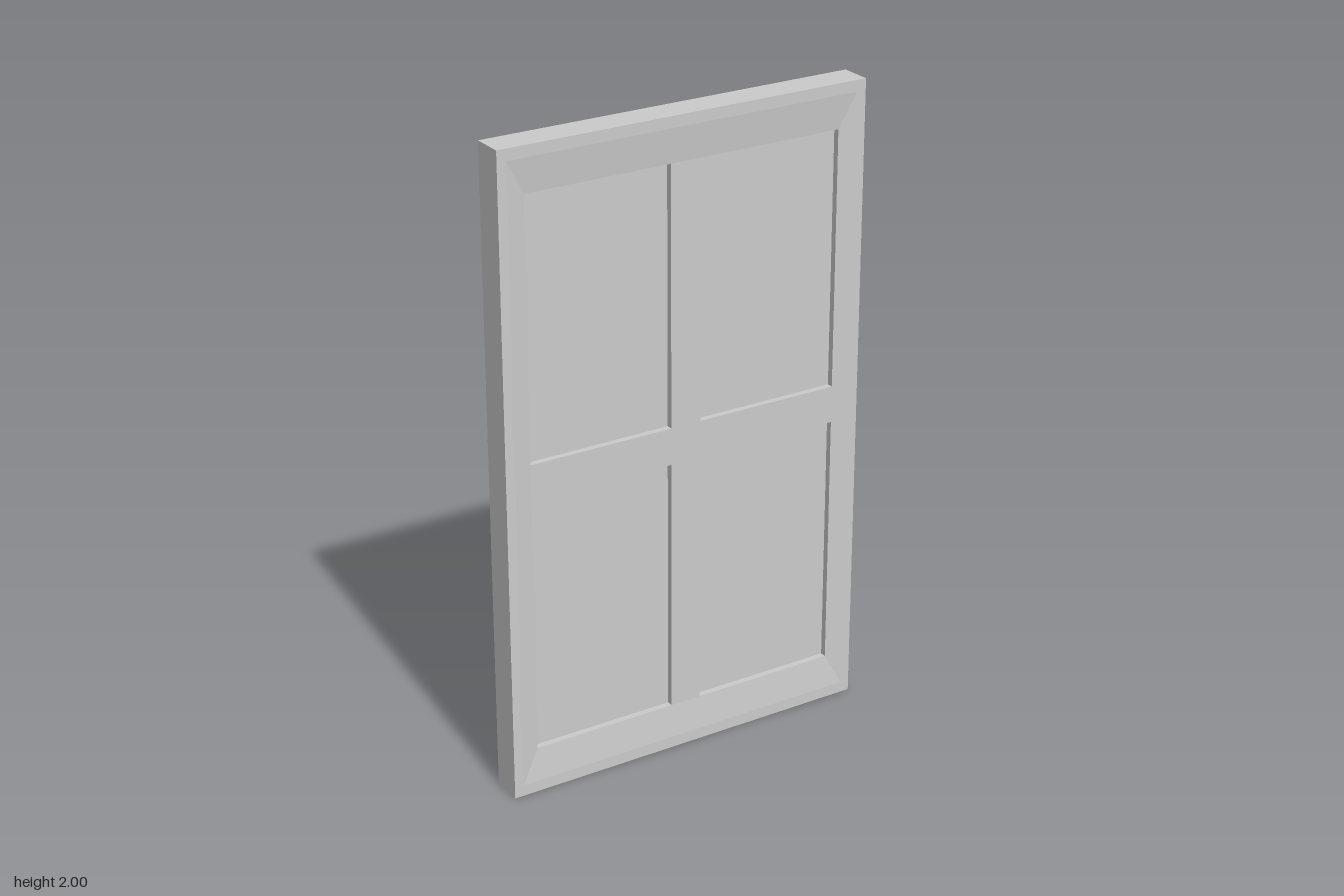
import * as THREE from 'three';

const material = new THREE.MeshStandardMaterial({ color: 0xcccccc, flatShading: true });

// Pane openings, measured from the panel centre
const PANE = { x0: 0.05, x1: 0.515, y0: 0.058, y1: 0.86 };

function rect(Type, x0, y0, x1, y1) {
  const r = new Type();
  r.moveTo(x0, y0);
  r.lineTo(x1, y0);
  r.lineTo(x1, y1);
  r.lineTo(x0, y1);
  r.closePath();
  return r;
}

// Sweeps [halfWidth, halfHeight, z] sections round the four mitred corners
function mitredFrame(sections) {
  const corners = [[-1, -1], [1, -1], [1, 1], [-1, 1]];
  const pos = [];
  for (let i = 0; i < sections.length - 1; i++) {
    for (let k = 0; k < 4; k++) {
      const point = (s, c) => [corners[c][0] * s[0], corners[c][1] * s[1], s[2]];
      const n = (k + 1) % 4;
      const a = point(sections[i], k), b = point(sections[i + 1], k);
      const c = point(sections[i + 1], n), d = point(sections[i], n);
      pos.push(...a, ...b, ...c, ...a, ...c, ...d);
    }
  }
  const geo = new THREE.BufferGeometry();
  geo.setAttribute('position', new THREE.Float32BufferAttribute(pos, 3));
  geo.computeVertexNormals();
  return geo;
}

export function createModel() {
  const group = new THREE.Group();
  const add = (name, geo, x = 0, y = 0, z = 0) => {
    const mesh = new THREE.Mesh(geo, material);
    mesh.name = name;
    mesh.position.set(x, y + 1, z);
    group.add(mesh);
  };

  // Outer frame: flat rim with a shallow slope down to the openings, both sides
  add('outerFrame', mitredFrame([
    [PANE.x1, PANE.y1, 0.04], [0.57, 0.965, 0.05], [0.6, 1, 0.05],
    [0.6, 1, -0.05], [0.57, 0.965, -0.05], [PANE.x1, PANE.y1, -0.04],
  ]));

  // Core with four openings forms the cross bars and the reveals
  const core = rect(THREE.Shape, -0.59, -0.99, 0.59, 0.99);
  const paneW = PANE.x1 - PANE.x0, paneH = PANE.y1 - PANE.y0;
  const centres = [];
  for (const sx of [-1, 1]) for (const sy of [-1, 1]) {
    const cx = sx * (PANE.x0 + PANE.x1) / 2, cy = sy * (PANE.y0 + PANE.y1) / 2;
    centres.push([cx, cy]);
    core.holes.push(rect(THREE.Path, cx - paneW / 2, cy - paneH / 2, cx + paneW / 2, cy + paneH / 2));
  }
  add('crossBars', new THREE.ExtrudeGeometry(core, { depth: 0.08, bevelEnabled: false }), 0, 0, -0.04);

  // Recessed panels
  for (const [cx, cy] of centres) add('panel', new THREE.BoxGeometry(paneW, paneH, 0.04), cx, cy);

  return group;
}
